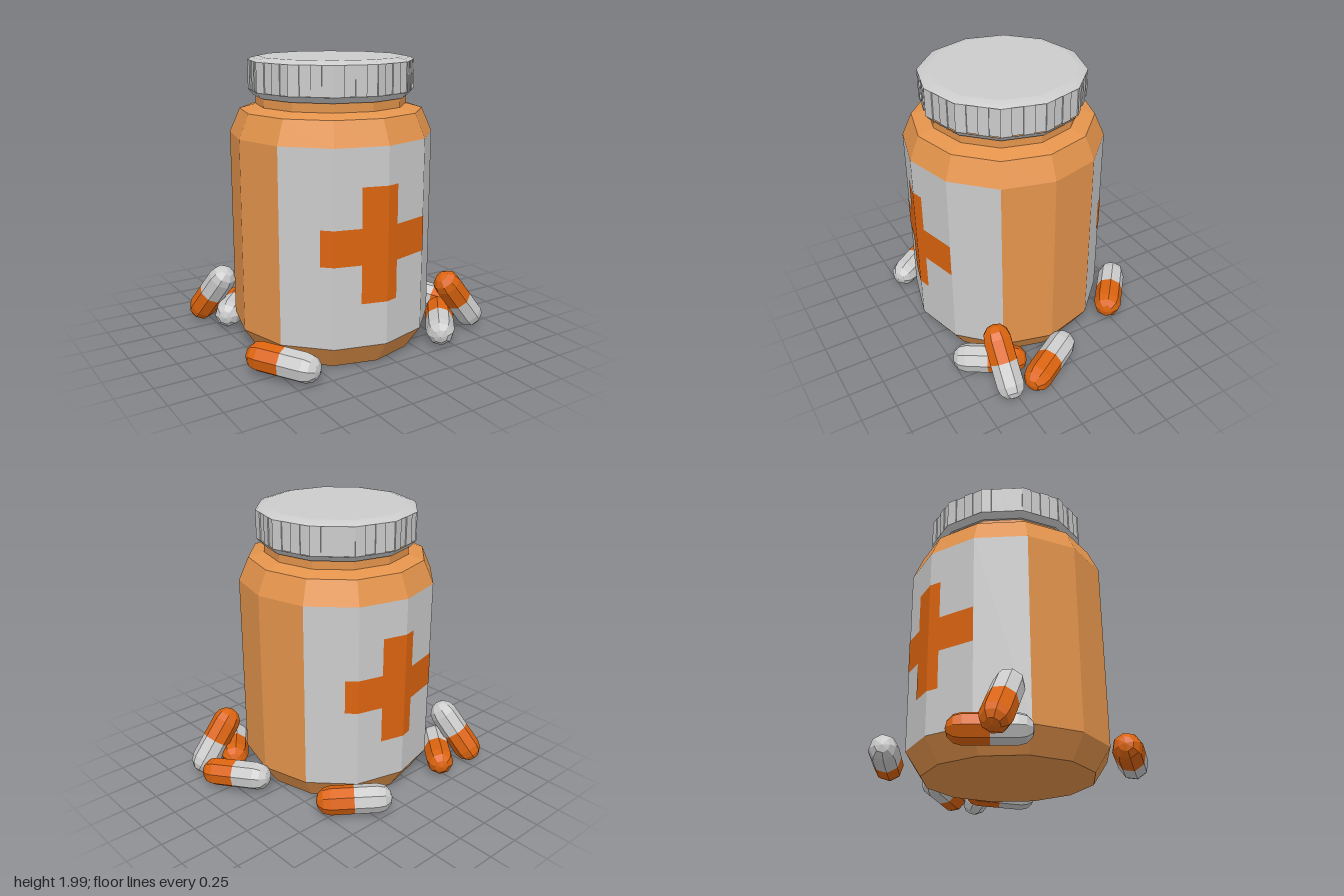
import * as THREE from 'three';

const mat = (color) => new THREE.MeshStandardMaterial({ color, flatShading: true });
const amber = mat(0xe4944c);
const orange = mat(0xdc640f);
const white = mat(0xcccccc);
const smoothWhite = new THREE.MeshStandardMaterial({ color: 0xcccccc });

const SIDES = 12;
const BODY_R = 0.69;

function add(parent, name, geometry, material) {
  const mesh = new THREE.Mesh(geometry, material);
  mesh.name = name;
  parent.add(mesh);
  return mesh;
}

// Lathe from [radius, height] pairs listed bottom to top
function lathe(profile, sides = SIDES, start = 0, sweep = Math.PI * 2) {
  return new THREE.LatheGeometry(profile.map(([r, y]) => new THREE.Vector2(r, y)), sides, start, sweep);
}

// Depth of the twelve-sided wall at a given x, lifted slightly for the cross
function wallZ(x) {
  const r = BODY_R + 0.003;
  const step = (Math.PI * 2) / SIDES;
  const a = Math.abs(x);
  let i = 0;
  while (a > r * Math.sin((i + 1) * step)) i++;
  const x0 = r * Math.sin(i * step), x1 = r * Math.sin((i + 1) * step);
  const z0 = r * Math.cos(i * step), z1 = r * Math.cos((i + 1) * step);
  return z0 + ((z1 - z0) * (a - x0)) / (x1 - x0);
}

// Panel that follows the wall through the given x stations
function wallPanel(xs, y0, y1) {
  const g = new THREE.PlaneGeometry(1, 1, xs.length - 1, 1);
  const p = g.attributes.position;
  for (let i = 0; i < p.count; i++) {
    const x = xs[i % xs.length];
    p.setXYZ(i, x, i < xs.length ? y1 : y0, wallZ(x));
  }
  g.computeVertexNormals();
  return g;
}

function createBottle() {
  const bottle = new THREE.Group();
  bottle.name = 'bottle';

  add(bottle, 'bottleBase', lathe([[0, 0.02], [0.585, 0.02], [BODY_R, 0.18]]), amber);
  add(bottle, 'shoulderAndNeck',
    lathe([[BODY_R, 1.49], [0.62, 1.65], [0.51, 1.68], [0.51, 1.76]]), amber);

  // Wall: label on front and back, bare amber on both sides
  const wall = [[BODY_R, 0.18], [BODY_R, 1.49]];
  for (const turn of [0, Math.PI]) {
    add(bottle, 'label', lathe(wall, 4, turn - Math.PI / 3, (Math.PI * 2) / 3), white);
    add(bottle, 'sideWall', lathe(wall, 2, turn + Math.PI / 3, Math.PI / 3), amber);

    const cross = new THREE.Group();
    cross.name = 'cross';
    cross.rotation.y = turn;
    const corner = (BODY_R + 0.003) / 2;
    add(cross, 'crossBar', wallPanel([-0.41, -corner, 0, corner], 0.735, 0.975), orange);
    add(cross, 'crossTop', wallPanel([-0.17, 0, 0.085], 0.975, 1.24), orange);
    add(cross, 'crossBottom', wallPanel([-0.17, 0, 0.085], 0.475, 0.735), orange);
    bottle.add(cross);
  }
  return bottle;
}

function createCap() {
  const cap = new THREE.Group();
  cap.name = 'cap';
  const R = 0.56;

  // Grip: each flat side is cut into four strips, every second one recessed
  const pts = [];
  for (let s = 0; s < SIDES; s++) {
    const a = (s / SIDES) * Math.PI * 2, b = ((s + 1) / SIDES) * Math.PI * 2;
    const A = new THREE.Vector2(Math.cos(a), Math.sin(a)).multiplyScalar(R);
    const B = new THREE.Vector2(Math.cos(b), Math.sin(b)).multiplyScalar(R);
    for (let k = 0; k < 4; k++) {
      const scale = k % 2 ? 0.986 : 1;
      pts.push(A.clone().lerp(B, k / 4).multiplyScalar(scale));
      pts.push(A.clone().lerp(B, (k + 1) / 4).multiplyScalar(scale));
    }
  }
  const grip = new THREE.ExtrudeGeometry(new THREE.Shape(pts), { depth: 0.195, bevelEnabled: false });
  grip.rotateX(-Math.PI / 2);
  grip.translate(0, 1.78, 0);
  add(cap, 'capGrip', grip, white);

  add(cap, 'capUnderside', lathe([[0, 1.74], [0.525, 1.74], [R, 1.78]]), white);
  add(cap, 'capRim', lathe([[R, 1.975], [0.535, 1.99], [0.49, 2]]), smoothWhite);
  add(cap, 'capTop', lathe([[0.49, 2], [0, 2]]), white);
  return cap;
}

// Two-coloured capsule between the centres of its rounded ends
function createPill(orangeEnd, whiteEnd) {
  const pill = new THREE.Group();
  pill.name = 'pill';
  const from = new THREE.Vector3(...whiteEnd);
  const to = new THREE.Vector3(...orangeEnd);
  const r = 0.1, half = 0.162;
  const profile = [[r, 0]];
  for (let i = 0; i <= 3; i++) {
    const a = (i * Math.PI) / 6;
    profile.push([i === 3 ? 0 : r * Math.cos(a), half + r * Math.sin(a)]);
  }
  add(pill, 'pillOrangeHalf', lathe(profile, 8), orange);
  add(pill, 'pillWhiteHalf', lathe(profile, 8), white).rotation.x = Math.PI;
  pill.position.copy(from).lerp(to, 0.5);
  pill.quaternion.setFromUnitVectors(new THREE.Vector3(0, 1, 0), to.sub(from).normalize());
  return pill;
}

export function createModel() {
  const model = new THREE.Group();
  model.name = 'pillBottle';

  const container = new THREE.Group();
  container.name = 'container';
  container.add(createBottle(), createCap());
  container.position.set(-0.1, 0, 0.08);
  model.add(container);

  // Pills scattered around the foot: orange end, white end
  const pills = [
    [[-0.80, 0.11, -0.64], [-0.71, 0.37, -0.46]],
    [[-0.495, 0.12, -0.63], [-0.70, 0.12, -0.39]],
    [[0.47, 0.135, -0.49], [0.22, 0.15, -0.70]],
    [[0.835, 0.125, 0.34], [0.68, 0.155, 0.06]],
    [[0.62, 0.14, 0.42], [0.425, 0.115, 0.68]],
    [[0.605, 0.375, 0.53], [0.80, 0.125, 0.54]],
    [[-0.84, 0.135, 0.42], [-0.66, 0.12, 0.69]],
  ];
  for (const [o, w] of pills) model.add(createPill(o, w));
  return model;
}
